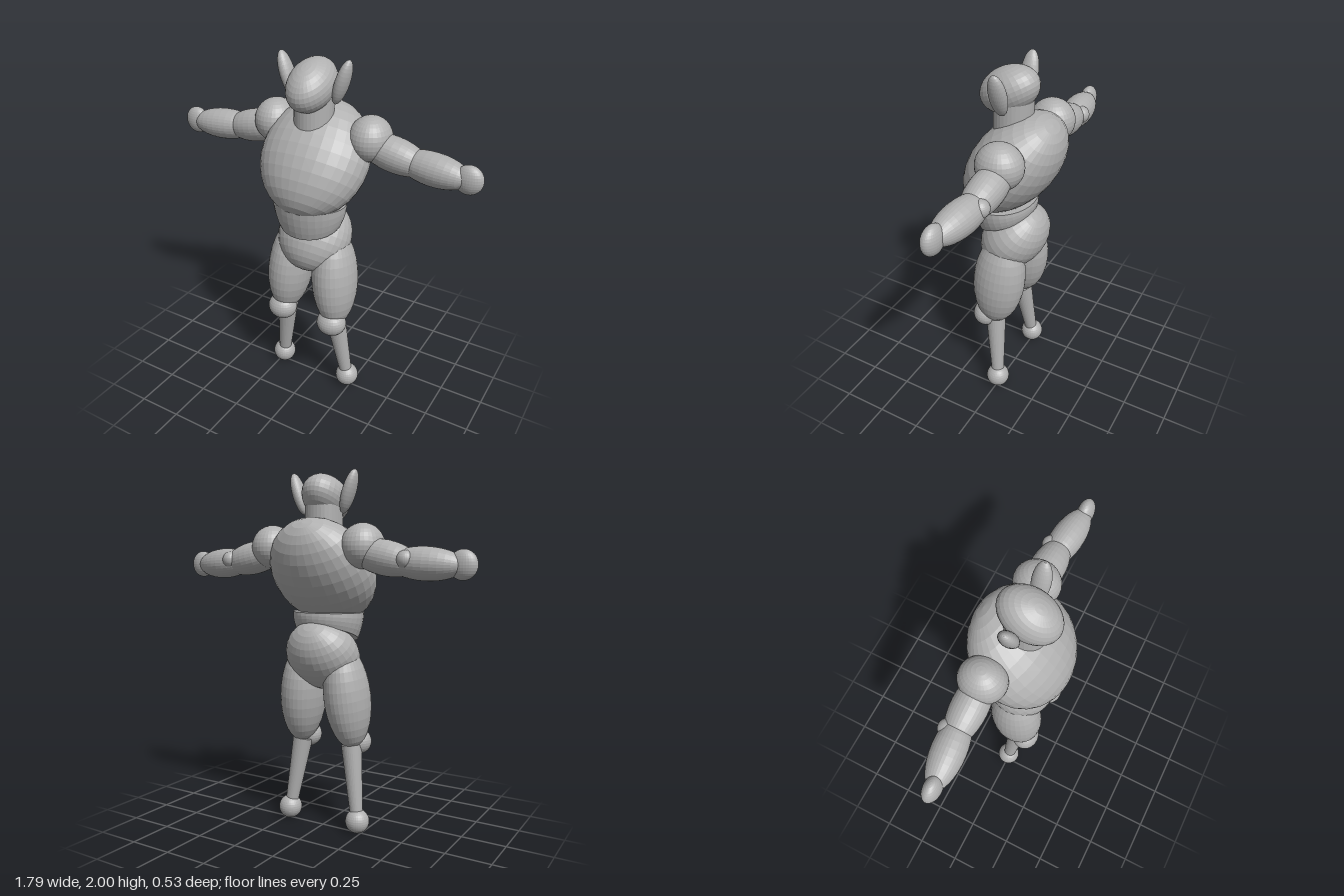
import * as THREE from 'three';

export function createModel() {
  const model = new THREE.Group();
  model.name = 'hornedFigure';
  const clay = new THREE.MeshStandardMaterial({ color: 0xb0b0b0, flatShading: true });
  clay.name = 'grey clay';

  const add = (name, geometry) => {
    const mesh = new THREE.Mesh(geometry, clay);
    mesh.name = name;
    model.add(mesh);
    return mesh;
  };

  // Scaled sphere with its poles along local y
  const ellipsoid = (name, pos, radii, rot = [0, 0, 0]) => {
    const mesh = add(name, new THREE.SphereGeometry(1, 32, 16).scale(...radii));
    mesh.position.set(...pos);
    mesh.rotation.set(...rot);
    return mesh;
  };

  // Tapered rod between two points
  const rod = (name, a, b, ra, rb) => {
    const from = new THREE.Vector3(...a), to = new THREE.Vector3(...b);
    const dir = to.clone().sub(from);
    const mesh = add(name, new THREE.CylinderGeometry(rb, ra, dir.length(), 32));
    mesh.position.copy(from).add(to).multiplyScalar(0.5);
    mesh.quaternion.setFromUnitVectors(new THREE.Vector3(0, 1, 0), dir.normalize());
    return mesh;
  };

  // Head, neck and body masses leaning back
  ellipsoid('head', [0, 1.857, 0.032], [0.122, 0.116, 0.168], [0.47, 0, 0]);
  rod('neck', [0, 1.64, 0.012], [0, 1.84, 0.008], 0.105, 0.103);
  ellipsoid('chest', [0, 1.46, 0], [0.305, 0.332, 0.212], [-0.687, 0, 0]);
  ellipsoid('hips', [0, 0.997, 0], [0.215, 0.217, 0.17], [-0.67, 0, 0]);

  // Waist band: flat on top, lower edge sloping down towards the front
  const band = new THREE.CylinderGeometry(1, 1, 1, 32, 4);
  const p = band.attributes.position;
  for (let i = 0; i < p.count; i++) {
    const t = 0.5 - p.getY(i);
    const z = 0.06 - 0.015 * t + p.getZ(i) * (0.17 - 0.02 * t * t);
    const low = 1.055 + (0.2 - z) * 0.37;
    p.setXYZ(i, p.getX(i) * (0.21 - 0.028 * t * t), 1.237 + (low - 1.237) * t, z);
  }
  band.computeVertexNormals();
  add('waist', band);

  // Mirrored ears, arms and legs
  for (const [side, s] of [['left', 1], ['right', -1]]) {
    const part = (name, [x, y, z], radii, [rx, ry, rz] = [0, 0, 0]) =>
      ellipsoid(side + name, [x * s, y, z], radii, [rx, ry * s, rz * s]);

    part('Ear', [0.158, 1.885, 0.008], [0.036, 0.12, 0.048], [0, 0, -0.32]);

    part('Shoulder', [0.285, 1.595, -0.07], [0.115, 0.12, 0.125]);
    part('UpperArm', [0.415, 1.535, -0.075], [0.092, 0.2, 0.092], [0, 0, -1.77]);
    part('Elbow', [0.55, 1.525, -0.12], [0.048, 0.048, 0.048]);
    part('Forearm', [0.635, 1.505, -0.067], [0.086, 0.2, 0.086], [0, -0.1, -1.62]);
    part('Hand', [0.822, 1.5, -0.048], [0.074, 0.076, 0.045]);

    part('Thigh', [0.145, 0.765, 0.025], [0.126, 0.295, 0.152], [-0.09, 0, 0.085]);
    part('Knee', [0.166, 0.502, 0.098], [0.087, 0.077, 0.078]);
    rod(side + 'Shin', [0.225 * s, 0.06, 0], [0.163 * s, 0.49, 0.042], 0.034, 0.058);
    part('Foot', [0.226, 0.068, 0], [0.068, 0.068, 0.068]);
  }
  return model;
}
